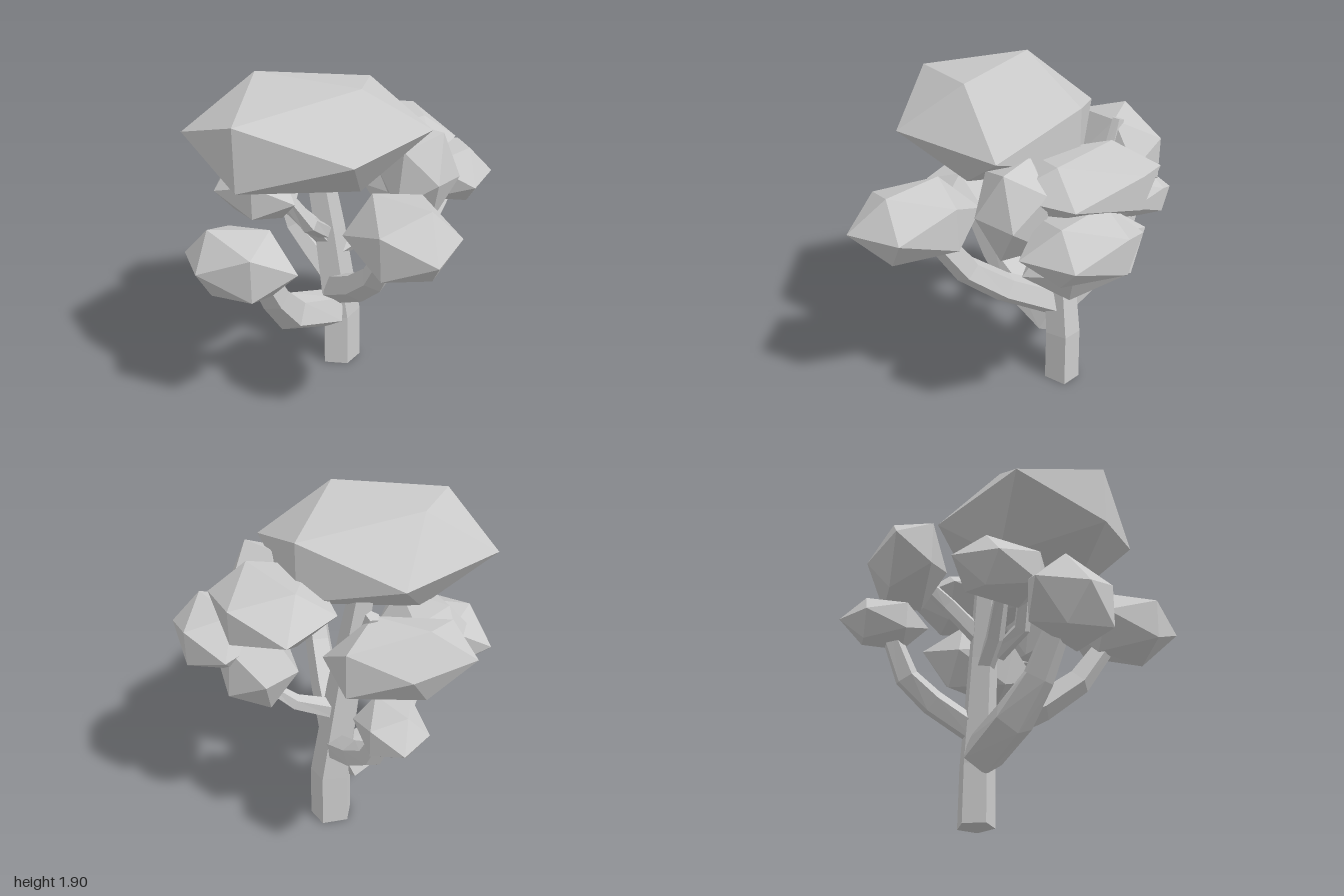
import * as THREE from 'three';
import { ConvexGeometry } from 'three/addons/geometries/ConvexGeometry.js';

const material = new THREE.MeshStandardMaterial({ color: 0xcccccc, flatShading: true });

// Five-sided limb lofted through points [x, y, z, radius]; flat squashes its depth
function limbGeometry(path, flat = 1) {
  const sides = 5;
  const points = path.map(([x, y, z]) => new THREE.Vector3(x, y, z));
  const up = new THREE.Vector3(0, 1, 0);
  const turn = new THREE.Quaternion();
  const positions = [];
  const index = [];
  path.forEach(([, , , radius], i) => {
    const before = points[Math.max(i - 1, 0)];
    const after = points[Math.min(i + 1, points.length - 1)];
    turn.setFromUnitVectors(up, after.clone().sub(before).normalize());
    for (let j = 0; j < sides; j++) {
      const a = (j / sides) * Math.PI * 2;
      const v = new THREE.Vector3(Math.sin(a) * radius, 0, Math.cos(a) * radius * flat);
      v.applyQuaternion(turn).add(points[i]);
      positions.push(v.x, v.y, v.z);
    }
  });
  for (let i = 0; i < path.length - 1; i++) {
    for (let j = 0; j < sides; j++) {
      const a = i * sides + j;
      const b = i * sides + ((j + 1) % sides);
      index.push(a, b, b + sides, a, b + sides, a + sides);
    }
  }
  // End caps
  const last = (path.length - 1) * sides;
  for (let j = 1; j < sides - 1; j++) {
    index.push(0, j + 1, j, last, last + j, last + j + 1);
  }
  const geometry = new THREE.BufferGeometry();
  geometry.setAttribute('position', new THREE.Float32BufferAttribute(positions, 3));
  geometry.setIndex(index);
  geometry.computeVertexNormals();
  return geometry;
}

// Twenty-sided leaf clump with its poles on the z axis, sized to the given half extents
function clumpGeometry(hx, hy, hz) {
  const points = [new THREE.Vector3(0, 0, 1), new THREE.Vector3(0, 0, -1)];
  for (let k = 0; k < 5; k++) {
    const a = (k / 5) * Math.PI * 2;
    const x = Math.cos(a);
    const y = Math.sin(a) / Math.sin(Math.PI * 0.4);
    points.push(new THREE.Vector3(x, y, 0.447), new THREE.Vector3(-x, -y, -0.447));
  }
  points.forEach((p) => p.set(p.x * hx, p.y * hy, p.z * hz));
  return new ConvexGeometry(points);
}

export function createModel() {
  const tree = new THREE.Group();
  tree.name = 'tree';
  const add = (name, geometry) => {
    const mesh = new THREE.Mesh(geometry, material);
    mesh.name = name;
    tree.add(mesh);
    return mesh;
  };

  // Trunk, leaning to one side above the first bend
  add('trunk', limbGeometry([
    [0.09, 0, -0.205, 0.126], [0.09, 0.33, -0.205, 0.122],
    [0.01, 0.92, -0.2, 0.1], [-0.08, 1.48, -0.2, 0.075],
  ], 0.84));

  // Branches
  const branches = {
    rightBranch: [[0.02, 0.37, -0.19, 0.12], [-0.28, 0.475, -0.09, 0.115],
      [-0.41, 0.66, 0.01, 0.088], [-0.55, 0.95, 0.1, 0.07]],
    frontBranch: [[0.045, 0.52, -0.17, 0.095], [0.045, 0.69, 0.14, 0.088],
      [0.04, 0.86, 0.36, 0.08], [0.04, 1.12, 0.54, 0.065]],
    backBranch: [[0.08, 0.51, -0.2, 0.075], [0.02, 0.65, -0.47, 0.075],
      [-0.03, 0.76, -0.62, 0.068], [-0.08, 1.02, -0.74, 0.05]],
    leftBranch: [[0.05, 0.76, -0.2, 0.06], [0.29, 0.85, -0.2, 0.045],
      [0.42, 0.95, -0.17, 0.035]],
    upperRightBranch: [[0, 0.84, -0.2, 0.055], [-0.13, 1.0, -0.16, 0.055],
      [-0.33, 1.22, -0.16, 0.04]],
    crossBranch: [[-0.05, 0.94, -0.13, 0.05], [-0.18, 1.05, -0.02, 0.05],
      [-0.31, 1.24, -0.03, 0.04]],
    upperBackBranch: [[-0.02, 1.05, -0.22, 0.055], [0, 1.24, -0.4, 0.05],
      [0, 1.34, -0.51, 0.045], [-0.03, 1.57, -0.58, 0.035]],
  };
  for (const [name, path] of Object.entries(branches)) add(name, limbGeometry(path));

  // Leaf clumps: name, centre, half extents, rotation
  const clumps = [
    ['crownClump', [-0.215, 1.63, 0.06], [0.595, 0.27, 0.57]],
    ['frontClump', [0.045, 1.23, 0.635], [0.25, 0.19, 0.362], [0, 0, 0.05]],
    ['rightClump', [-0.635, 0.985, 0.13], [0.2, 0.195, 0.335], [0, 0.75, 0]],
    ['upperRightClump', [-0.42, 1.25, -0.18], [0.19, 0.15, 0.31], [0, 0.35, 0]],
    ['upperBackClump', [-0.15, 1.365, -0.66], [0.36, 0.195, 0.22]],
    ['lowerBackClump', [-0.085, 1.04, -0.76], [0.165, 0.12, 0.24]],
    ['upperLeftClump', [0.39, 1.46, -0.16], [0.3, 0.15, 0.447]],
    ['tallLeftClump', [0.365, 1.36, 0.21], [0.2, 0.25, 0.217], [0, 0, -0.1]],
    ['outerLeftClump', [0.66, 1.255, -0.02], [0.225, 0.16, 0.34]],
    ['lowerLeftClump', [0.48, 1.1, -0.13], [0.2, 0.2, 0.36], [0.18, 0, 0.1]],
  ];
  for (const [name, centre, half, rotation = [0, 0, 0]] of clumps) {
    const clump = add(name, clumpGeometry(...half));
    clump.position.set(...centre);
    clump.rotation.set(...rotation);
  }
  return tree;
}
